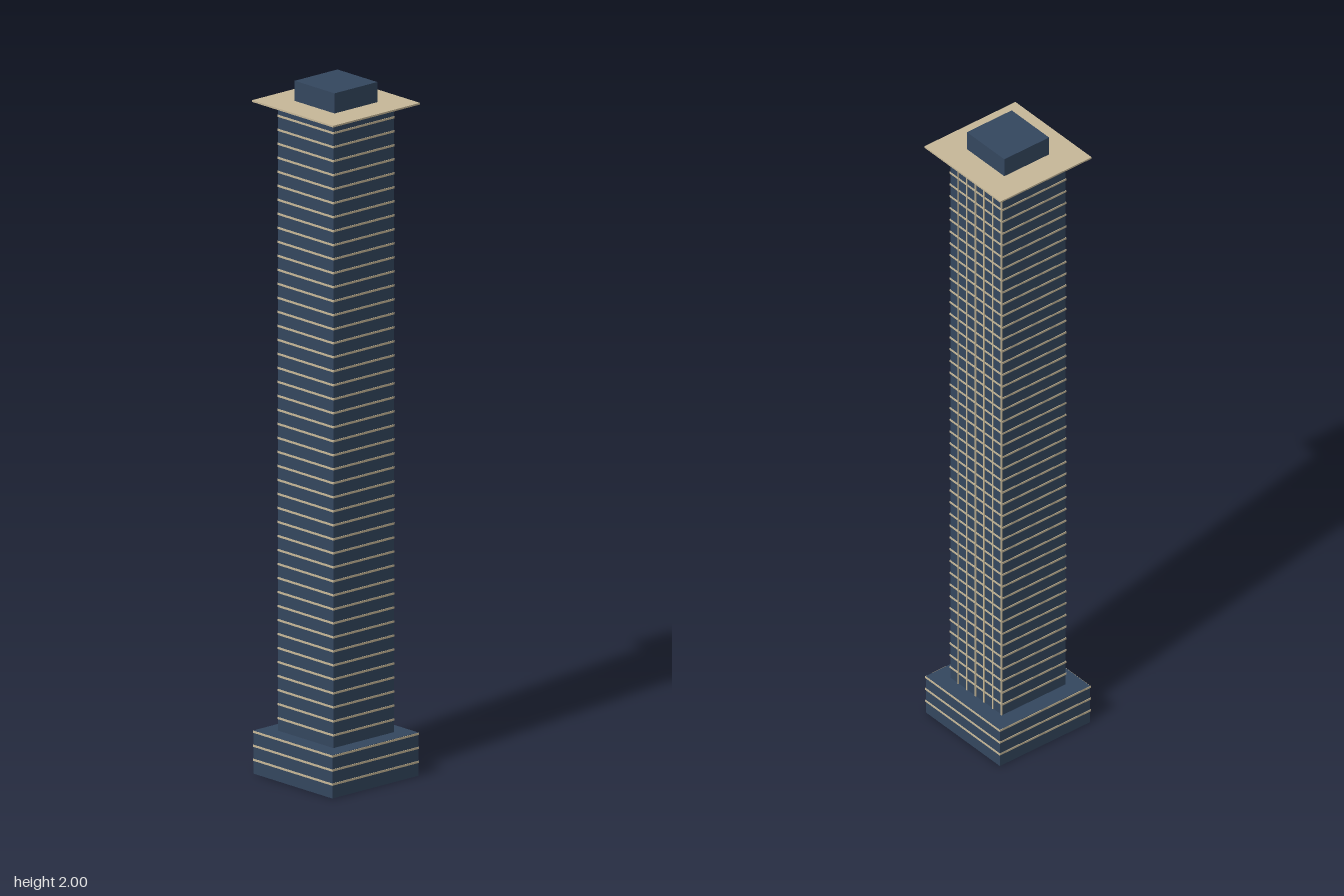
import * as THREE from 'three';

export function createModel() {
  const model = new THREE.Group();
  const glass = new THREE.MeshStandardMaterial({ color: 0x34475f });
  const stone = new THREE.MeshStandardMaterial({ color: 0xc8b999 });

  // The whole building is turned on its plot
  const building = new THREE.Group();
  building.name = 'building';
  building.rotation.y = THREE.MathUtils.degToRad(-38.5);
  model.add(building);

  const box = (name, material, w, h, d, x, bottom, z) => {
    const mesh = new THREE.Mesh(new THREE.BoxGeometry(w, h, d), material);
    mesh.name = name;
    mesh.position.set(x, bottom + h / 2, z);
    building.add(mesh);
    return mesh;
  };

  const floors = 48, podiumFloors = 3, pitch = 0.0404;
  const podiumW = 0.322, towerW = 0.226;
  const podiumTop = 0.125, roofY = 1.937;

  // Main volumes
  box('podium', glass, podiumW, podiumTop, podiumW, 0, 0, 0);
  box('tower', glass, towerW, roofY - podiumTop, towerW, 0, podiumTop, 0);
  box('roofSlab', stone, 0.332, 0.005, 0.325, 0, roofY, 0);
  box('penthouse', glass, 0.163, 2 - roofY - 0.005, 0.16, 0, roofY + 0.005, 0);

  // Thin stone band at every floor line
  for (let i = 1; i < floors; i++) {
    const w = (i <= podiumFloors ? podiumW : towerW) + 0.003;
    box('floorBand', stone, w, 0.006, w, 0, i * pitch - 0.003, 0);
  }

  // Vertical mullions on the rear face only
  for (let i = 0; i < 6; i++) {
    const x = -towerW / 2 + 0.002 + (i * towerW) / 6;
    box('mullion', stone, 0.004, roofY - podiumTop, 0.004, x, podiumTop, -towerW / 2 - 0.001);
  }

  return model;
}
